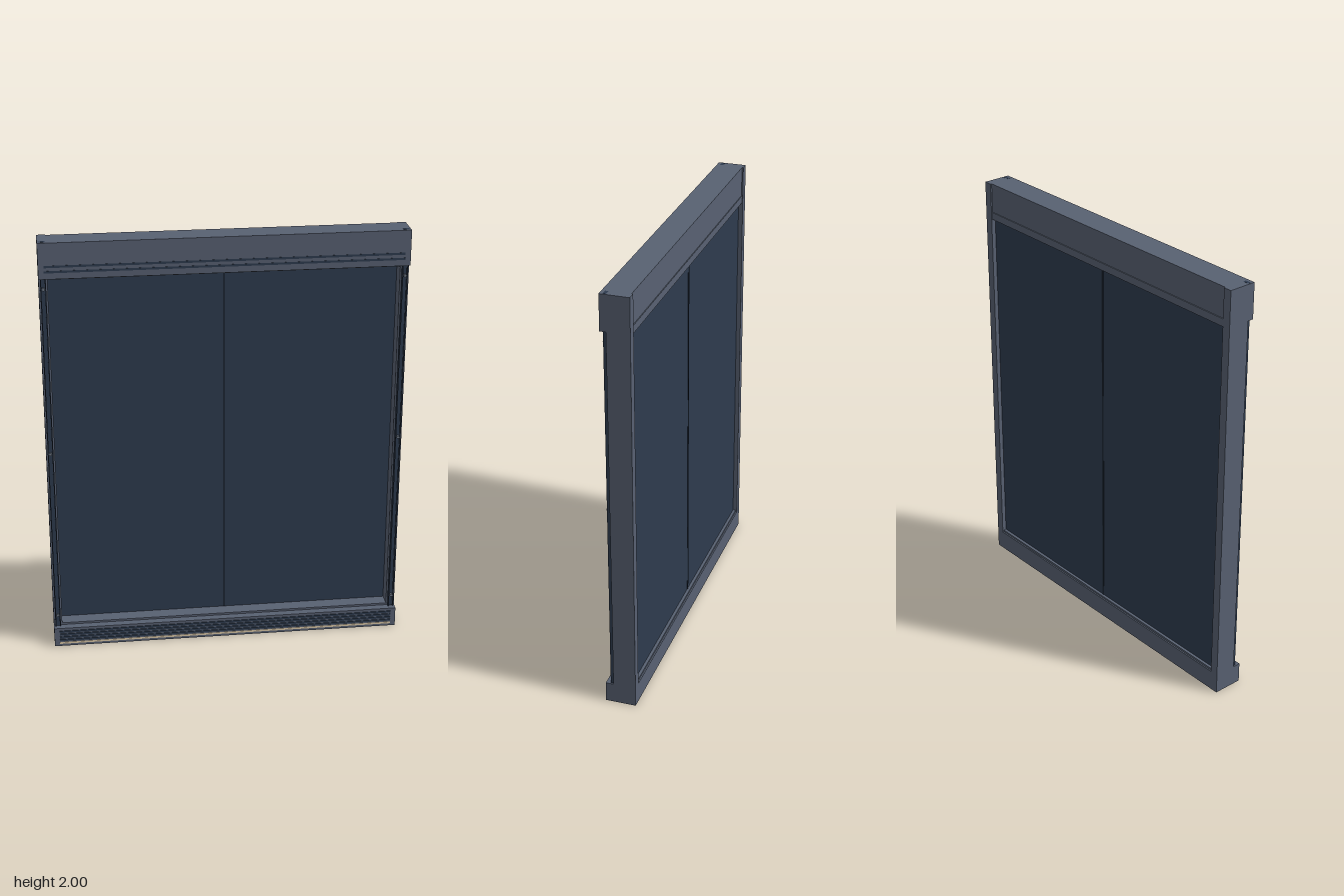
import * as THREE from 'three';

const material = (name, color) => {
  const m = new THREE.MeshStandardMaterial({ color });
  m.name = name;
  return m;
};

export function createModel() {
  const frame = material('grey frame', 0x586172);
  const panel = material('navy panel', 0x2e3b4e);
  const seal = material('dark seal', 0x1d2734);
  const screw = material('screw steel', 0x6a7482);
  const light = material('warm light', 0xdac8a8);

  const model = new THREE.Group();
  model.name = 'slidingDoor';

  // box given by its limits on each axis
  const box = (name, mat, x0, x1, y0, y1, z0, z1) => {
    const mesh = new THREE.Mesh(new THREE.BoxGeometry(x1 - x0, y1 - y0, z1 - z0), mat);
    mesh.position.set((x0 + x1) / 2, (y0 + y1) / 2, (z0 + z1) / 2);
    mesh.name = name;
    model.add(mesh);
    return mesh;
  };
  // the same box on both sides
  const pair = (name, mat, x0, x1, ...rest) => {
    box(name + 'Left', mat, x0, x1, ...rest);
    box(name + 'Right', mat, -x1, -x0, ...rest);
  };

  // header, with its back plate set in between the jambs
  box('header', frame, -0.83, 0.83, 1.835, 2, 0.032, 0.06);
  box('headerCore', frame, -0.79, 0.79, 1.86, 2, -0.066, 0.032);
  box('headerLip', frame, -0.79, 0.79, 1.825, 1.86, -0.07, 0.032);
  for (const y of [1.868, 1.892]) {
    box('headerGroove', panel, -0.805, 0.805, y - 0.005, y + 0.005, 0.058, 0.061);
  }

  // jambs
  pair('jamb', frame, 0.79, 0.83, 0.095, 2, -0.0725, 0.032);

  // sill with raised ledge
  box('sill', frame, -0.83, 0.83, 0, 0.095, -0.0725, 0.069);
  box('sillLedge', frame, -0.79, 0.79, 0.095, 0.105, -0.066, 0.032);
  for (const y of [0.032, 0.047, 0.062, 0.077]) {
    box('sillRib', panel, -0.805, 0.805, y - 0.0045, y + 0.0045, 0.067, 0.0725);
  }
  box('sillLightStrip', light, -0.805, 0.805, 0.012, 0.021, 0.067, 0.071);

  // guide rails: a base with two flanges, and end caps at the top
  pair('railBase', panel, 0.797, 0.823, 0.095, 1.835, 0.032, 0.04);
  pair('railInnerFlange', panel, 0.797, 0.802, 0.095, 1.835, 0.04, 0.047);
  pair('railOuterFlange', panel, 0.818, 0.823, 0.095, 1.835, 0.04, 0.047);
  pair('railEnd', panel, 0.795, 0.825, 1.996, 2.0005, 0.03, 0.045);

  // rail screws
  const screwGeometry = new THREE.CylinderGeometry(0.007, 0.007, 0.012, 16).rotateX(Math.PI / 2);
  for (const side of [-1, 1]) {
    for (const y of [0.155, 0.995, 1.785]) {
      const mesh = new THREE.Mesh(screwGeometry, screw);
      mesh.name = 'railScrew';
      mesh.position.set(side * 0.81, y, 0.045);
      model.add(mesh);
    }
  }

  // door panels and the seal between them
  pair('doorPanel', panel, 0.004, 0.79, 0.105, 1.825, -0.052, -0.036);
  box('centreSeal', seal, -0.005, 0.005, 0.105, 1.825, -0.054, -0.034);

  return model;
}
